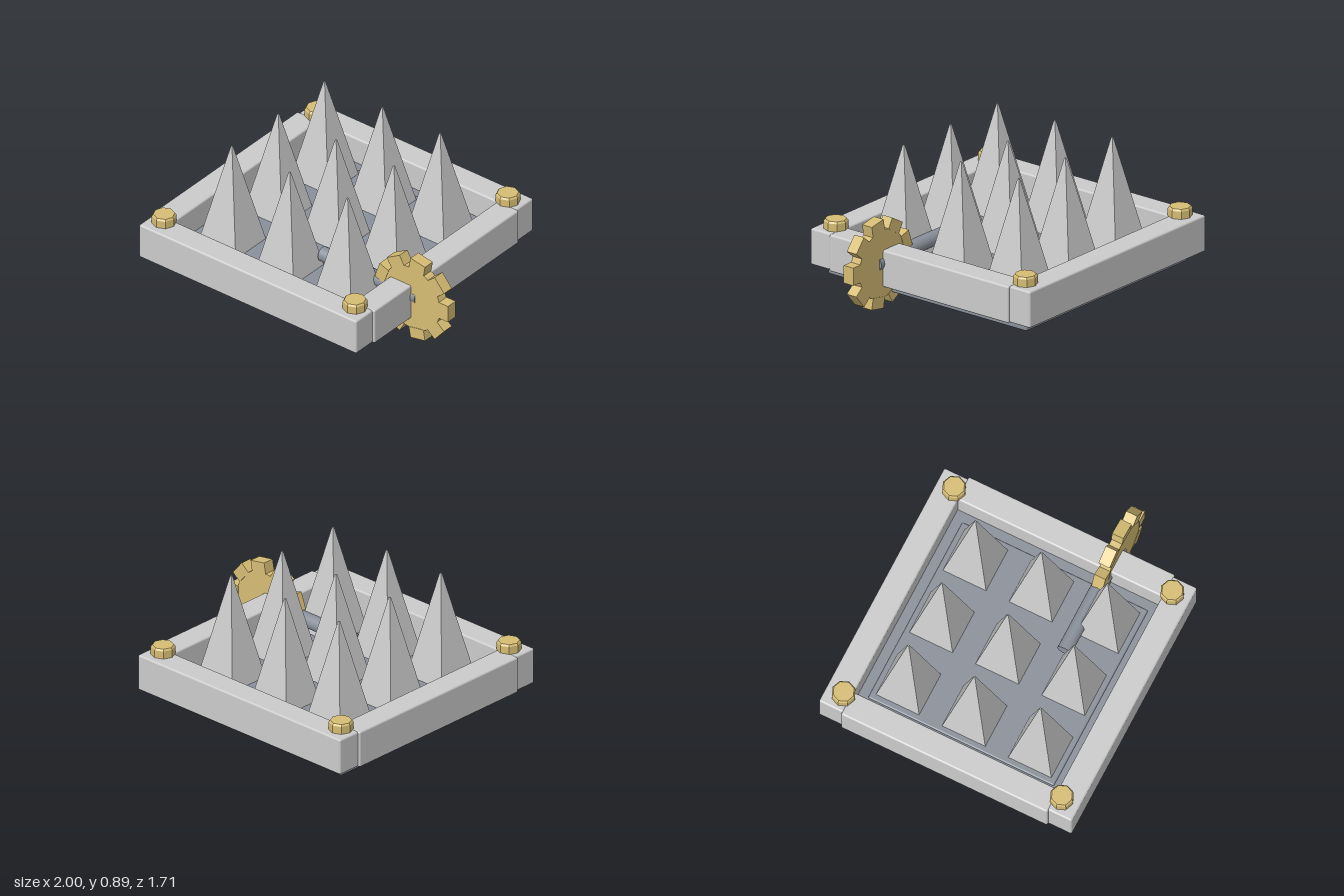
import * as THREE from 'three';
import { RoundedBoxGeometry } from 'three/addons/geometries/RoundedBoxGeometry.js';

const steel = new THREE.MeshStandardMaterial({ color: 0xcccccc });
const spikeSteel = new THREE.MeshStandardMaterial({ color: 0xcccccc, flatShading: true });
const iron = new THREE.MeshStandardMaterial({ color: 0x8a909a });
const brass = new THREE.MeshStandardMaterial({ color: 0xd6bd74, flatShading: true });

const CX = -0.143; // centre of the tray in x

export function createModel() {
  const model = new THREE.Group();
  model.name = 'spikeTrap';

  const add = (parent, name, geometry, material, x, y, z) => {
    const mesh = new THREE.Mesh(geometry, material);
    mesh.name = name;
    mesh.position.set(x, y, z);
    parent.add(mesh);
    return mesh;
  };
  // Box with softened edges, given by its size
  const block = (w, h, d, r = 0.012) => new RoundedBoxGeometry(w, h, d, 2, r);

  // Base plate and the raised floor panel on it
  add(model, 'basePlate', block(1.545, 0.12, 1.545), iron, CX, 0.155, 0);
  add(model, 'floorPanel', block(1.262, 0.06, 1.256, 0.01), iron, CX, 0.195, 0);

  // Frame: long rails in front and back, side rails between them
  const frame = new THREE.Group();
  frame.name = 'frame';
  model.add(frame);
  for (const s of [-1, 1]) {
    add(frame, s > 0 ? 'frontRail' : 'backRail', block(1.68, 0.235, 0.165), steel, CX, 0.2725, s * 0.7725);
    add(frame, s > 0 ? 'leftRail' : 'rightRail', block(0.163, 0.238, 1.395), steel, CX + s * 0.774, 0.2725, 0);
  }

  // Octagonal corner bolts with a small chamfer
  const boltProfile = [[0, 0], [0.075, 0], [0.075, 0.05], [0.066, 0.062], [0, 0.062]]
    .map(([r, y]) => new THREE.Vector2(r, y));
  const boltGeometry = new THREE.LatheGeometry(boltProfile, 8);
  for (const sx of [-1, 1]) for (const sz of [-1, 1]) {
    add(model, 'cornerBolt', boltGeometry, brass, CX + sx * 0.738, 0.39, sz * 0.738);
  }

  // Three by three four-sided spikes with blunted tips
  const spikeGeometry = new THREE.CylinderGeometry(0.007, 0.147 * Math.SQRT2, 0.69, 4);
  spikeGeometry.rotateY(Math.PI / 4);
  for (let i = -1; i <= 1; i++) for (let j = -1; j <= 1; j++) {
    add(model, 'spike', spikeGeometry, spikeSteel, CX + i * 0.447, 0.565, j * 0.447);
  }

  // Drive shaft running under the spikes out through the side rail
  const shaftGeometry = new THREE.CylinderGeometry(0.047, 0.047, 0.745, 16);
  shaftGeometry.rotateZ(Math.PI / 2);
  add(model, 'driveShaft', shaftGeometry, iron, 0.3725, 0.307, 0.308);

  // Gear: disc with nine block teeth
  const gear = new THREE.Group();
  gear.name = 'gear';
  gear.position.set(0.718, 0.305, 0.31);
  model.add(gear);
  const discGeometry = new THREE.CylinderGeometry(0.22, 0.22, 0.07, 24);
  discGeometry.rotateX(Math.PI / 2);
  add(gear, 'gearDisc', discGeometry, brass, 0, 0, 0);
  const toothGeometry = new THREE.BoxGeometry(0.074, 0.114, 0.075);
  for (let i = 0; i < 9; i++) {
    const a = (i / 9) * Math.PI * 2;
    const tooth = add(gear, 'gearTooth', toothGeometry, brass, Math.cos(a) * 0.245, Math.sin(a) * 0.245, 0);
    tooth.rotation.z = a;
  }

  return model;
}
